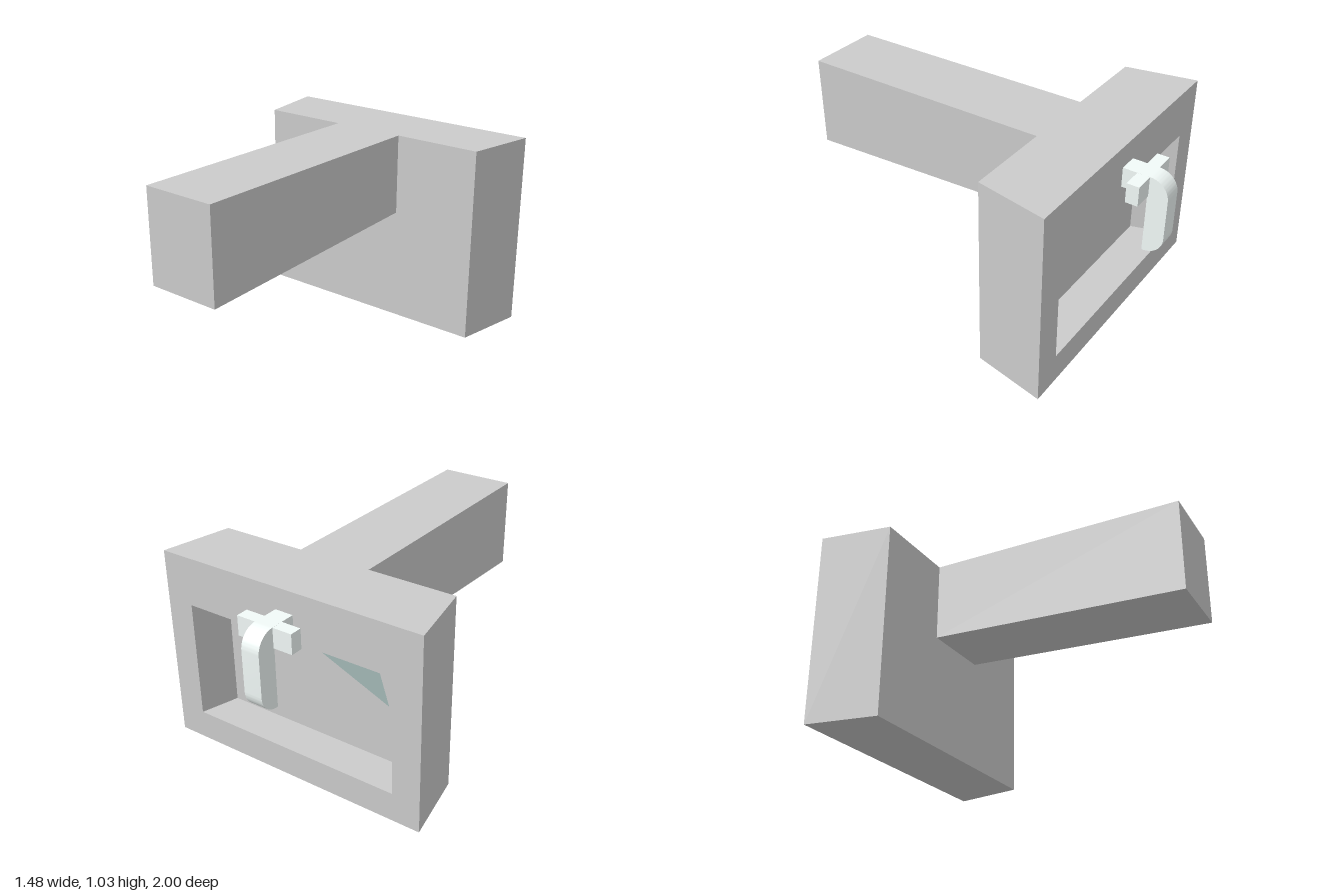
import * as THREE from 'three';
import { toCreasedNormals } from 'three/addons/utils/BufferGeometryUtils.js';

const TOP = 1.035;

// Joins rectangles [halfWidth, bottom, top, z] in order, front to back, and caps both ends.
function loftRects(rects) {
  const loops = rects.map(([w, y0, y1, z]) =>
    [[-w, y0, z], [w, y0, z], [w, y1, z], [-w, y1, z]]);
  const pos = [];
  const quad = (a, b, c, d) => [a, b, c, a, c, d].forEach((p) => pos.push(...p));
  quad(...loops[0]);
  for (let k = 0; k < loops.length - 1; k++) {
    const a = loops[k], b = loops[k + 1];
    for (let i = 0; i < 4; i++) {
      const j = (i + 1) % 4;
      quad(a[i], b[i], b[j], a[j]);
    }
  }
  quad(...loops[loops.length - 1].slice().reverse());
  const geometry = new THREE.BufferGeometry();
  geometry.setAttribute('position', new THREE.Float32BufferAttribute(pos, 3));
  geometry.computeVertexNormals();
  return geometry;
}

export function createModel() {
  const model = new THREE.Group();
  const grey = new THREE.MeshStandardMaterial({ color: 0xcccccc });
  const pale = new THREE.MeshStandardMaterial({ color: 0xf2faf8 });
  const teal = new THREE.MeshStandardMaterial({ color: 0xa3b8b6, side: THREE.DoubleSide });

  const add = (parent, name, geometry, material, x = 0, y = 0, z = 0) => {
    const mesh = new THREE.Mesh(geometry, material);
    mesh.name = name;
    mesh.position.set(x, y, z);
    parent.add(mesh);
    return mesh;
  };

  // Tapered block, hollowed out from the back
  add(model, 'block', loftRects([
    [0.67, 0, TOP, -0.38],
    [0.74, 0, TOP, -0.76],
    [0.59, 0.155, 0.78, -0.76],
    [0.53, 0.155, 0.78, -0.56],
  ]), grey);

  // Long arm with a slightly sloping underside
  add(model, 'arm', loftRects([
    [0.2, 0.545, TOP, 1],
    [0.2, 0.605, TOP, -0.38],
  ]), grey);

  // Coloured triangle on the inner wall of the recess
  const patch = new THREE.Shape([
    new THREE.Vector2(0.3, 0.78),
    new THREE.Vector2(-0.34, 0.78),
    new THREE.Vector2(-0.44, 0.467),
  ]);
  add(model, 'recessPatch', new THREE.ShapeGeometry(patch), teal, 0, 0, -0.562);

  // Handle: stem, crossbar and hanging grip
  const handle = new THREE.Group();
  handle.name = 'handle';
  model.add(handle);
  add(handle, 'stem', new THREE.BoxGeometry(0.1, 0.105, 0.137), pale, 0, 0.8675, -0.8285);
  add(handle, 'crossbar', new THREE.BoxGeometry(0.31, 0.104, 0.065), pale, 0, 0.8675, -0.8675);

  // Grip profile (distance towards the back, height), rounded on its outer corners
  const r = 0.1;
  const grip = new THREE.Shape();
  grip.moveTo(0.895, 0.505);
  grip.lineTo(0.9, 0.505);
  grip.absarc(0.9, 0.505 + r, r, -Math.PI / 2, 0, false);
  grip.absarc(0.9, 0.92 - r, r, 0, Math.PI / 2, false);
  grip.lineTo(0.895, 0.92);
  grip.closePath();
  const gripGeometry = new THREE.ExtrudeGeometry(grip, {
    depth: 0.1, bevelEnabled: false, curveSegments: 12,
  });
  gripGeometry.translate(0, 0, -0.05).rotateY(Math.PI / 2);
  add(handle, 'grip', toCreasedNormals(gripGeometry, 0.6), pale);

  return model;
}
